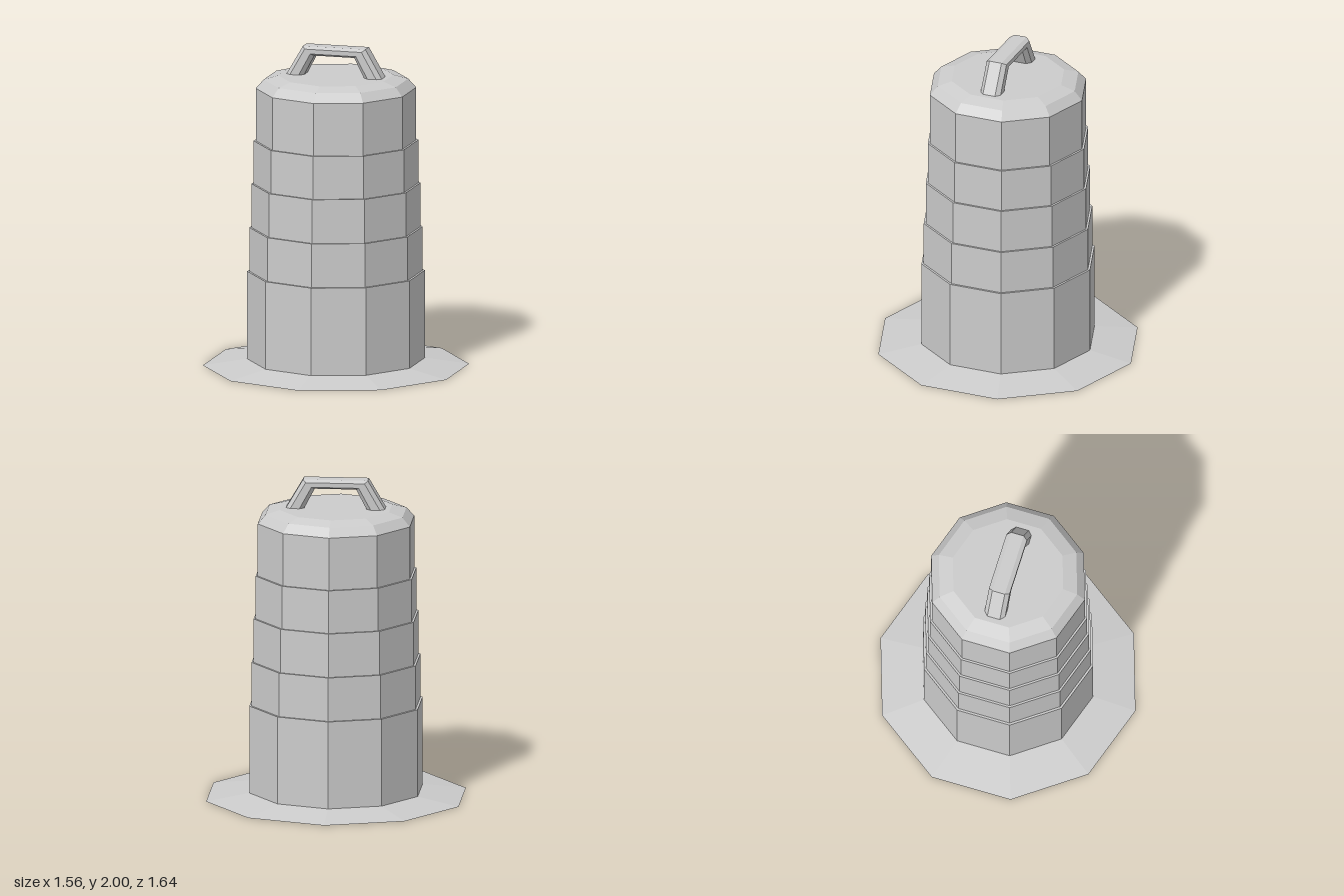
import * as THREE from 'three';

const SIDES = 10;

export function createModel() {
  const group = new THREE.Group();
  const material = new THREE.MeshStandardMaterial({ color: 0xcccccc, flatShading: true });

  const add = (name, geometry) => {
    const mesh = new THREE.Mesh(geometry, material);
    mesh.name = name;
    group.add(mesh);
  };
  // Ten-sided turned part from [radius, height] pairs, bottom to top
  const turned = (profile) =>
    new THREE.LatheGeometry(profile.map(([r, y]) => new THREE.Vector2(r, y)), SIDES);

  // Wide, shallow sloping foot with a closed underside
  add('base', turned([[0, 0], [0.82, 0], [0.547, 0.04]]));

  // Stepped drum body: each tier is slightly narrower than the one below
  const radii = [0.547, 0.533, 0.52, 0.507, 0.494];
  const heights = [0.04, 0.59, 0.865, 1.14, 1.41, 1.74];
  radii.forEach((r, i) => {
    const profile = [[r, heights[i]], [r, heights[i + 1]]];
    if (i < radii.length - 1) profile.push([radii[i + 1], heights[i + 1]]);
    add('drumTier' + (i + 1), turned(profile));
  });

  // Bevelled lid
  add('lid', turned([[0.494, 1.74], [0.445, 1.795], [0.355, 1.82], [0, 1.82]]));

  add('handle', createHandle());
  return group;
}

// Angular carrying handle: an octagonal section lofted through four stations
function createHandle() {
  // Each station runs from its outer point to its inner point: [xOut, yOut, xIn, yIn]
  const half = [[-0.308, 1.815, -0.195, 1.815], [-0.2, 2.0, -0.128, 1.943]];
  const mirrored = half.map(([a, b, c, d]) => [-a, b, -c, d]).reverse();
  const stations = [...half, ...mirrored];

  // Section corners: [fraction from outer to inner, z]
  const side = [[0, 0.04], [0.25, 0.066], [0.75, 0.066], [1, 0.04]];
  const section = [...side, ...side.map(([t, z]) => [t, -z]).reverse()];
  const n = section.length;

  const positions = [];
  const index = [];
  stations.forEach(([xo, yo, xi, yi], i) => {
    section.forEach(([t, z], j) => {
      positions.push(xo + (xi - xo) * t, yo + (yi - yo) * t, z);
      if (i === stations.length - 1) return;
      const a = i * n + j;
      const b = i * n + ((j + 1) % n);
      index.push(a, b, a + n, b, b + n, a + n);
    });
  });

  const geometry = new THREE.BufferGeometry();
  geometry.setAttribute('position', new THREE.Float32BufferAttribute(positions, 3));
  geometry.setIndex(index);
  geometry.computeVertexNormals();
  return geometry;
}
